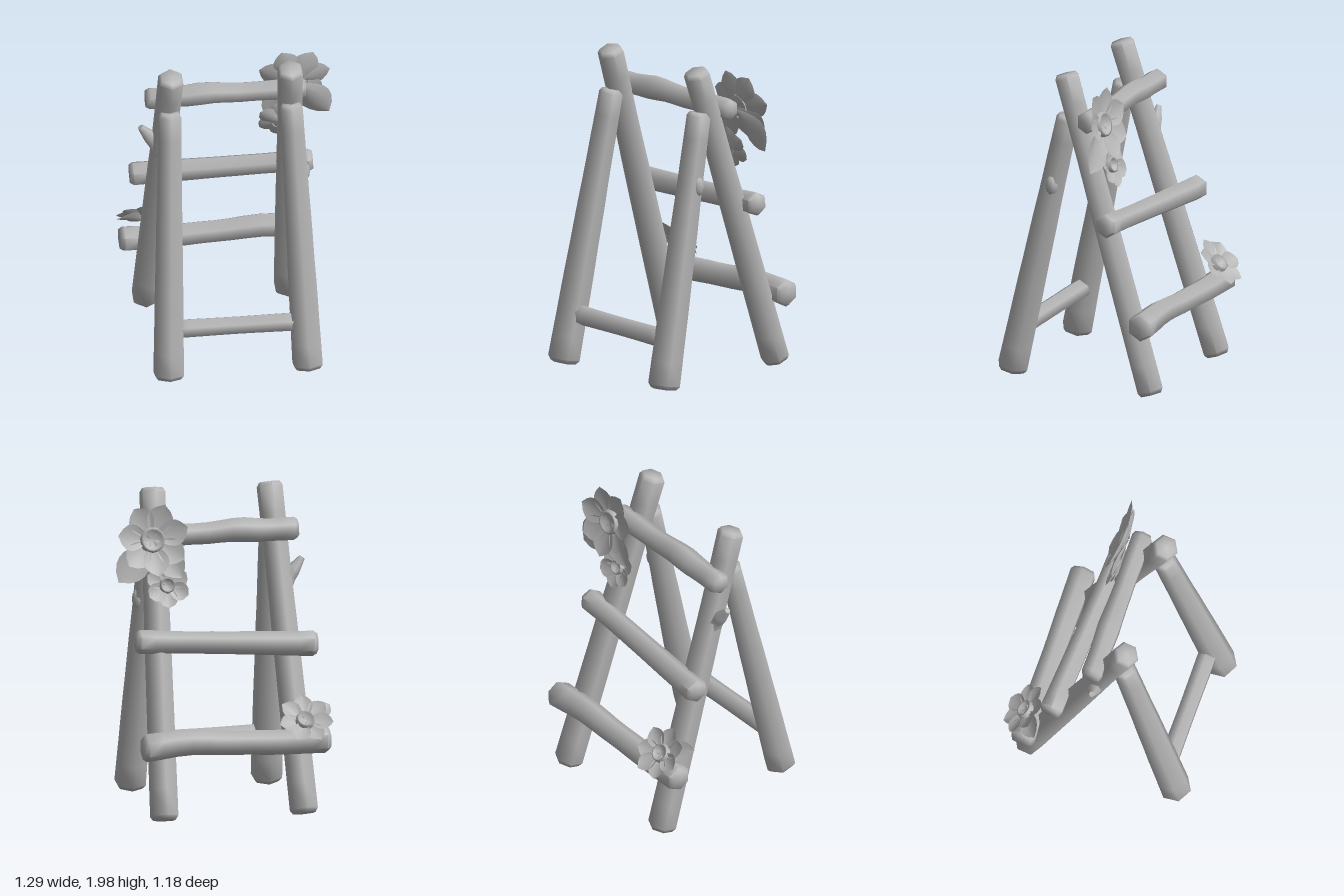
import * as THREE from 'three';
import { toCreasedNormals } from 'three/addons/utils/BufferGeometryUtils.js';

const wood = new THREE.MeshStandardMaterial({ color: 0xb4b4b4, side: THREE.DoubleSide });
wood.name = 'plain grey';

const V = (a) => new THREE.Vector3(...a);

// Six-sided log from a to b: radii are spread evenly, ends are chamfered,
// bend lists small vertical offsets spread evenly along the log.
function log(name, a, b, radii, { bend = [0, 0], phase = 0, sides = 6 } = {}) {
  const start = V(a), dir = V(b).sub(start), len = dir.length();
  const sample = (list, t) => {
    const f = Math.min(Math.max(t, 0), 1) * (list.length - 1);
    const i = Math.min(Math.floor(f), list.length - 2);
    const s = THREE.MathUtils.smoothstep(f - i, 0, 1);
    return list[i] + (list[i + 1] - list[i]) * s;
  };
  const profile = [new THREE.Vector2(0, 0), new THREE.Vector2(sample(radii, 0) * 0.8, 0)];
  const edge = 0.025 / len, steps = 12;
  for (let i = 0; i <= steps; i++) {
    const t = edge + (1 - 2 * edge) * i / steps;
    profile.push(new THREE.Vector2(sample(radii, t), t * len));
  }
  profile.push(new THREE.Vector2(sample(radii, 1) * 0.8, len), new THREE.Vector2(0, len));
  let geo = new THREE.LatheGeometry(profile, sides, phase);
  const turn = new THREE.Quaternion().setFromUnitVectors(new THREE.Vector3(0, 1, 0), dir.clone().normalize());
  const p = geo.attributes.position, v = new THREE.Vector3();
  for (let i = 0; i < p.count; i++) {
    v.fromBufferAttribute(p, i);
    const lift = sample(bend, v.y / len);
    v.applyQuaternion(turn).add(start);
    p.setXYZ(i, v.x, v.y + lift, v.z);
  }
  geo = toCreasedNormals(geo, 1.12);
  const mesh = new THREE.Mesh(geo, wood);
  mesh.name = name;
  return mesh;
}

// Cupped petal or leaf lying in the XY plane, growing outward at the given angle
function petal(name, length, width, angle, { lift = 0.05, cup = 0.02, round = 1, z = 0 } = {}) {
  const geo = new THREE.PlaneGeometry(1, 1, 4, 8);
  const p = geo.attributes.position;
  for (let i = 0; i < p.count; i++) {
    const u = p.getY(i) + 0.5, v = p.getX(i) * 2;
    const half = width / 2 * Math.pow(Math.max(0, Math.sin(Math.PI * Math.pow(u, 1.35))), round);
    p.setXYZ(i, v * half, u * length, z + lift * u * u + cup * v * v * Math.sin(Math.PI * u));
  }
  geo.rotateZ(angle - Math.PI / 2);
  geo.computeVertexNormals();
  const mesh = new THREE.Mesh(geo, wood);
  mesh.name = name;
  return mesh;
}

// Flower with a dished centre; leaves are [angle in degrees, length, width]
function flower(name, at, normal, { count, radius, width, start = 0, round = 1, lift = 0.05, leaves = [] }) {
  const g = new THREE.Group();
  g.name = name;
  const rad = THREE.MathUtils.degToRad;
  for (let i = 0; i < count; i++) {
    g.add(petal('petal', radius, width, rad(start) + i * 2 * Math.PI / count,
      { lift, round, z: i % 2 ? 0.008 : 0 }));
  }
  for (const [angle, length, w] of leaves) {
    g.add(petal('leaf', length, w, rad(angle), { lift: -0.01, cup: 0.03, round: 0.8, z: -0.015 }));
  }
  const r = radius * 0.36;
  const rim = [[0, 0.01], [0.5, 0.012], [0.75, 0.035], [0.9, 0.035], [1, 0.005]]
    .map(([x, y]) => new THREE.Vector2(x * r, y));
  const centre = new THREE.Mesh(new THREE.LatheGeometry(rim, 14).rotateX(Math.PI / 2), wood);
  centre.name = 'flowerCentre';
  g.add(centre);
  g.position.set(...at);
  g.lookAt(V(at).add(V(normal)));
  return g;
}

export function createModel() {
  const model = new THREE.Group();
  model.name = 'flowerLadder';

  // Legs
  const frontR = [0.1, 0.095, 0.088, 0.08, 0.075];
  const backR = [0.09, 0.088, 0.085, 0.08, 0.083];
  model.add(
    log('frontRightLeg', [-0.445, 0.045, 0.48], [-0.385, 1.71, 0.12], frontR),
    log('frontLeftLeg', [0.41, 0.045, 0.48], [0.36, 1.71, 0.12], frontR),
    log('backRightLeg', [-0.45, 0.035, -0.48], [-0.38, 1.97, 0.14], backR),
    log('backLeftLeg', [0.425, 0.035, -0.48], [0.352, 1.97, 0.14], backR),
  );

  // Rungs
  const across = Math.PI / 2;
  model.add(
    log('topRung', [-0.51, 1.715, -0.05], [0.47, 1.71, -0.05], [0.073, 0.07, 0.078, 0.07, 0.066, 0.07, 0.07],
      { phase: across, bend: [0, 0, 0.012, 0, 0, 0] }),
    log('middleRung', [-0.575, 1.045, -0.29], [0.54, 1.095, -0.215], [0.078, 0.074, 0.07, 0.068, 0.075], { phase: across }),
    log('bottomRung', [-0.61, 0.485, -0.46], [0.555, 0.485, -0.46], [0.085, 0.078, 0.075, 0.08, 0.088],
      { phase: across, bend: [0, -0.005, 0.005, 0.022, 0] }),
    log('frontRung', [-0.4, 0.345, 0.41], [0.36, 0.335, 0.41], [0.063, 0.06, 0.063], { phase: across }),
  );

  // Broken twig and knot
  model.add(log('twigStub', [-0.4, 1.34, -0.05], [-0.545, 1.53, -0.03], [0.07, 0.045, 0.024]));
  const knot = new THREE.Mesh(new THREE.SphereGeometry(0.05, 8, 6), wood);
  knot.name = 'knot';
  knot.scale.set(0.8, 1.3, 0.8);
  knot.position.set(0.425, 1.27, 0.2);
  model.add(knot);

  // Flowers
  model.add(
    flower('largeFlower', [0.42, 1.705, -0.135], [0, 0.25, -1],
      { count: 7, radius: 0.225, width: 0.165, start: 120, round: 0.8, leaves: [[229, 0.33, 0.2], [308, 0.3, 0.17]] }),
    flower('smallFlower', [0.33, 1.42, -0.145], [0, 0.3, -1],
      { count: 6, radius: 0.14, width: 0.115, start: 30, round: 0.55, lift: 0.03 }),
    flower('lowFlower', [-0.455, 0.605, -0.475], [0, 0.7, -0.75],
      { count: 7, radius: 0.17, width: 0.12, start: 90, round: 0.8, lift: 0.035, leaves: [[35, 0.22, 0.13]] }),
  );
  return model;
}
